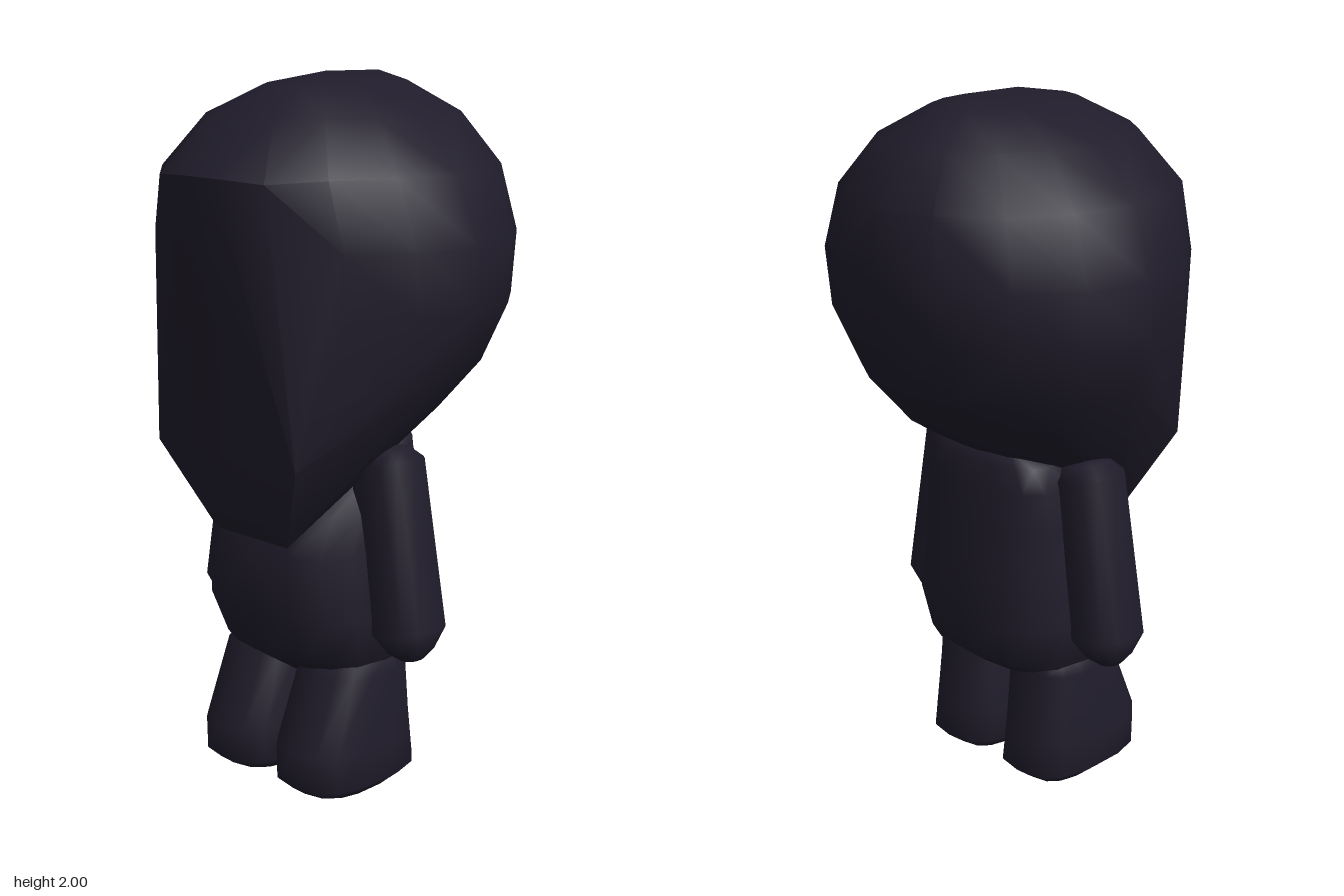
import * as THREE from 'three';
import { ConvexGeometry } from 'three/addons/geometries/ConvexGeometry.js';
import { toCreasedNormals } from 'three/addons/utils/BufferGeometryUtils.js';

const material = new THREE.MeshStandardMaterial({ color: 0x201c2b });

// Points of a rounded ring; row = [y, half width, back z, front z]
function ringPoints([y, hx, z0, z1], cx, sides, power) {
  const round = (v) => Math.sign(v) * Math.abs(v) ** power;
  const points = [];
  for (let i = 0; i < sides; i++) {
    const a = (i / sides) * Math.PI * 2;
    points.push(new THREE.Vector3(
      cx + hx * round(Math.sin(a)), y,
      (z0 + z1) / 2 + ((z1 - z0) / 2) * round(Math.cos(a))));
  }
  return points;
}

// Smooth closed body through rings listed from bottom to top
function loft(rows, cx = 0, sides = 14, power = 0.75) {
  const positions = [], index = [];
  for (const row of rows) {
    for (const p of ringPoints(row, cx, sides, power)) positions.push(p.x, p.y, p.z);
  }
  for (let r = 0; r < rows.length - 1; r++) {
    for (let i = 0; i < sides; i++) {
      const j = (i + 1) % sides;
      const a = r * sides + i, b = r * sides + j;
      index.push(a, b, b + sides, a, b + sides, a + sides);
    }
  }
  // End caps
  const last = rows.length - 1;
  for (const [r, flip] of [[0, true], [last, false]]) {
    const [y, , z0, z1] = rows[r];
    const centre = positions.length / 3;
    positions.push(cx, y, (z0 + z1) / 2);
    for (let i = 0; i < sides; i++) {
      const a = r * sides + i, b = r * sides + ((i + 1) % sides);
      if (flip) index.push(centre, b, a);
      else index.push(centre, a, b);
    }
  }
  const geometry = new THREE.BufferGeometry();
  geometry.setAttribute('position', new THREE.Float32BufferAttribute(positions, 3));
  geometry.setIndex(index);
  geometry.computeVertexNormals();
  return geometry;
}

// Head: rounded skull wrapped together with a flat face and pointed chin
function headGeometry() {
  const rows = [
    [1.03, 0.2, -0.16, 0.2],
    [1.1, 0.33, -0.28, 0.3],
    [1.24, 0.45, -0.4, 0.42],
    [1.4, 0.515, -0.47, 0.46],
    [1.57, 0.515, -0.495, 0.475],
    [1.75, 0.45, -0.475, 0.48],
    [1.89, 0.32, -0.38, 0.37],
    [1.97, 0.155, -0.25, 0.21],
  ];
  const points = rows.flatMap((row) => ringPoints(row, 0, 16, 1));
  points.push(new THREE.Vector3(0, 2, 0.03), new THREE.Vector3(0, 1.997, -0.18));
  for (const s of [-1, 1]) {
    points.push(
      new THREE.Vector3(s * 0.065, 1.75, 0.497),
      new THREE.Vector3(s * 0.2, 1.74, 0.45),
      new THREE.Vector3(s * 0.27, 1.0, 0.415),
      new THREE.Vector3(s * 0.14, 0.75, 0.32));
  }
  return toCreasedNormals(new ConvexGeometry(points), 0.6);
}

export function createModel() {
  const model = new THREE.Group();
  model.name = 'figure';
  const add = (name, geometry) => {
    const mesh = new THREE.Mesh(geometry, material);
    mesh.name = name;
    model.add(mesh);
    return mesh;
  };

  add('head', headGeometry());

  // Torso: round belly, flatter back
  add('torso', loft([
    [0.31, 0.09, -0.03, 0.14],
    [0.35, 0.2, -0.1, 0.2],
    [0.4, 0.275, -0.165, 0.27],
    [0.53, 0.298, -0.2, 0.327],
    [0.72, 0.275, -0.19, 0.33],
    [0.82, 0.262, -0.187, 0.265],
    [0.93, 0.245, -0.18, 0.17],
    [1.0, 0.215, -0.17, 0.06],
    [1.04, 0.13, -0.15, -0.06],
  ], 0, 16));

  for (const [side, s] of [['left', 1], ['right', -1]]) {
    // Arm: stub with rounded ends, leaning outwards
    const arm = add(side + 'Arm', loft([
      [0.345, 0.03, 0.02, 0.08],
      [0.372, 0.06, -0.015, 0.115],
      [0.432, 0.1, -0.05, 0.15],
      [0.9, 0.1, -0.05, 0.15],
      [0.935, 0.06, -0.015, 0.115],
      [0.945, 0.03, 0.02, 0.08],
    ], s * 0.425, 12, 0.85));
    arm.rotation.z = s * 0.181;

    // Leg: widens into a foot that reaches forwards
    add(side + 'Leg', loft([
      [0, 0.088, -0.05, 0.23],
      [0.015, 0.105, -0.07, 0.265],
      [0.05, 0.145, -0.115, 0.312],
      [0.15, 0.143, -0.103, 0.315],
      [0.36, 0.128, -0.08, 0.225],
      [0.4, 0.105, -0.06, 0.19],
      [0.42, 0.05, 0, 0.12],
    ], s * 0.147, 14));
  }
  return model;
}
